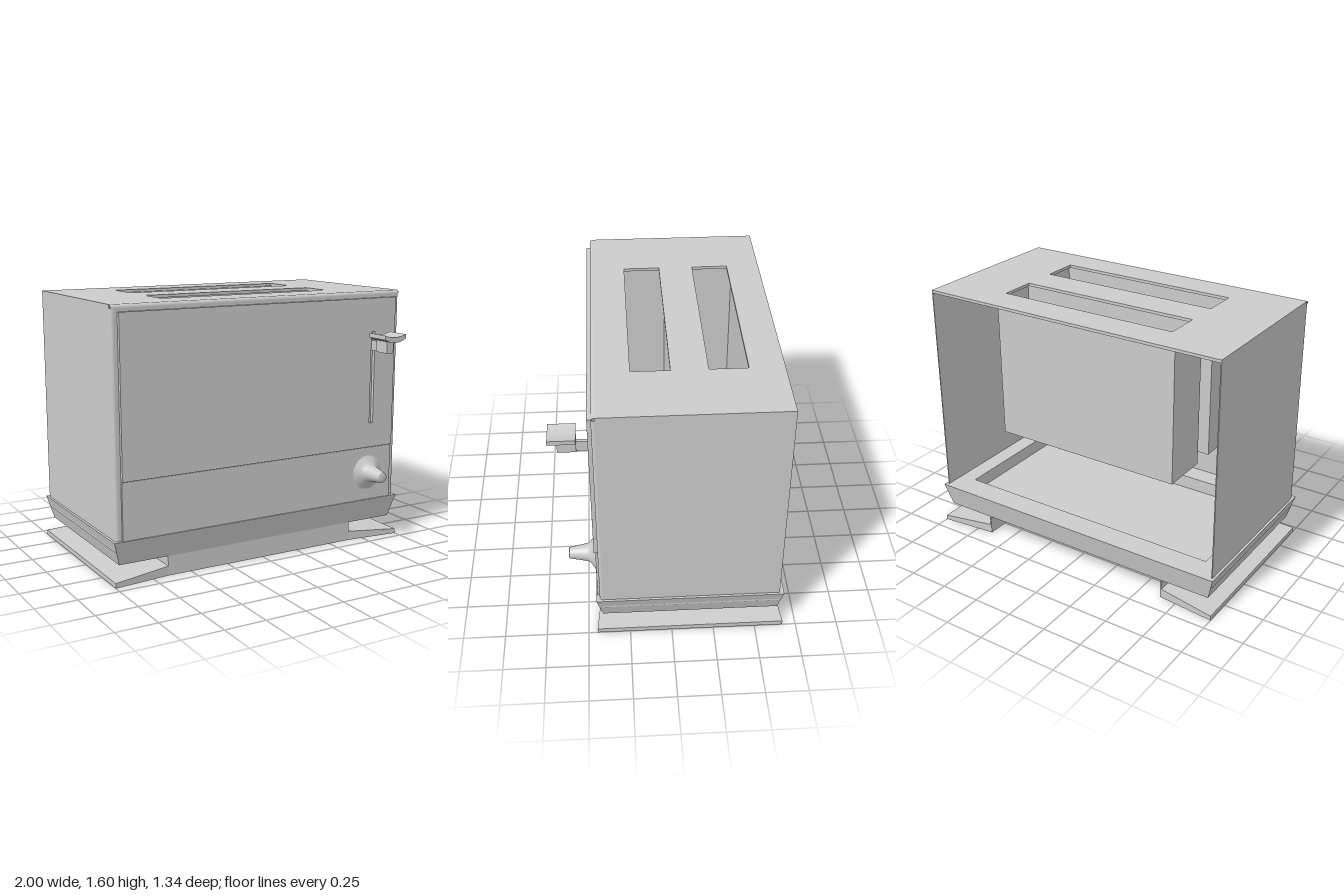
import * as THREE from 'three';

const mat = new THREE.MeshStandardMaterial({ color: 0xcccccc, side: THREE.DoubleSide });
const flat = new THREE.MeshStandardMaterial({ color: 0xcccccc, side: THREE.DoubleSide, flatShading: true });

function add(parent, name, geometry, material = mat) {
  const mesh = new THREE.Mesh(geometry, material);
  mesh.name = name;
  parent.add(mesh);
  return mesh;
}

// Box given by its limits on each axis
function block(parent, name, x0, x1, y0, y1, z0, z1) {
  const g = new THREE.BoxGeometry(x1 - x0, y1 - y0, z1 - z0);
  g.translate((x0 + x1) / 2, (y0 + y1) / 2, (z0 + z1) / 2);
  return add(parent, name, g);
}

function rectPath(x0, x1, y0, y1, Type = THREE.Path) {
  const p = new Type();
  p.moveTo(x0, y0);
  p.lineTo(x1, y0);
  p.lineTo(x1, y1);
  p.lineTo(x0, y1);
  p.closePath();
  return p;
}

function plate(x0, x1, y0, y1, depth, holes = []) {
  const s = rectPath(x0, x1, y0, y1, THREE.Shape);
  holes.forEach((h) => s.holes.push(rectPath(...h)));
  return new THREE.ExtrudeGeometry(s, { depth, bevelEnabled: false });
}

// Surface through closed rings of four corners, with optional end caps
function loft(rings, capStart, capEnd) {
  const pos = rings.flat(2);
  const idx = [];
  for (let r = 0; r < rings.length - 1; r++) {
    for (let i = 0; i < 4; i++) {
      const a = r * 4 + i, b = r * 4 + (i + 1) % 4;
      idx.push(a, a + 4, b, b, a + 4, b + 4);
    }
  }
  const e = (rings.length - 1) * 4;
  if (capStart) idx.push(0, 1, 2, 0, 2, 3);
  if (capEnd) idx.push(e, e + 2, e + 1, e, e + 3, e + 2);
  const g = new THREE.BufferGeometry();
  g.setAttribute('position', new THREE.Float32BufferAttribute(pos, 3));
  g.setIndex(idx);
  const out = g.toNonIndexed();
  out.computeVertexNormals();
  return out;
}

// Horizontal ring at height y
const ring = (x, y, z0, z1) => [[-x, y, z0], [x, y, z0], [x, y, z1], [-x, y, z1]];

function makeShell() {
  const shell = new THREE.Group();
  shell.name = 'shell';
  const R = 0.02, X = 0.985, Y = 1.6, Z0 = -0.64, Z1 = 0.425, T = 0.006;
  const slots = [[-0.44, -0.22], [-0.01, 0.21]];

  // Top plate with two bread slots
  const top = plate(-X, X, -(Z1 - R), -Z0, 0.018, slots.map(([a, b]) => [-0.575, 0.575, -b, -a]));
  top.rotateX(-Math.PI / 2);
  top.translate(0, Y - 0.018, 0);
  add(shell, 'topPlate', top);

  // Open-ended bread wells hanging below the slots
  slots.forEach(([a, b]) => {
    const x = 0.615, y0 = 0.68, y1 = Y - 0.018;
    add(shell, 'breadWell', loft([ring(x, y0, a - 0.037, b + 0.04), ring(x, y1, a - 0.037, b + 0.04)], true, false), flat);
  });

  // Walls; the back is open
  for (const s of [-1, 1]) {
    const a = s * X, b = s * (X - T);
    block(shell, 'sideWall', Math.min(a, b), Math.max(a, b), 0.2, Y - 0.005, Z0, Z1 - R);
    const edge = new THREE.CylinderGeometry(R, R, Y - R - 0.2, 8, 1, true, s > 0 ? 0 : -Math.PI / 2, Math.PI / 2);
    edge.translate(s * (X - R), (Y - R + 0.2) / 2, Z1 - R);
    add(shell, 'sideRoundedEdge', edge);
  }
  block(shell, 'frontWall', -X + R, X - R, 0.2, Y - R, Z1 - T, Z1);
  const lip = new THREE.CylinderGeometry(R, R, 2 * X, 8, 1, true, 0, Math.PI / 2);
  lip.rotateZ(Math.PI / 2);
  lip.translate(0, Y - R, Z1 - R);
  add(shell, 'topRoundedEdge', lip);

  // Front panels, the upper one cut for the lever track
  const upper = plate(-0.945, 0.945, 0.612, 1.56, 0.022, [[0.763, 0.79, 0.77, 1.35]]);
  upper.translate(0, 0, Z1);
  add(shell, 'upperPanel', upper);
  block(shell, 'lowerPanel', -0.945, 0.945, 0.262, 0.608, Z1, 0.438);
  return shell;
}

function makeBase() {
  const base = new THREE.Group();
  base.name = 'base';
  // Flared tray with a shallow recess
  add(base, 'tray', loft([
    ring(0.96, 0.12, -0.635, 0.41),
    ring(1, 0.265, -0.665, 0.445),
    ring(0.87, 0.265, -0.51, 0.29),
    ring(0.87, 0.18, -0.51, 0.29),
  ], true, true), flat);

  // Pedestal skirt, open at the back
  block(base, 'frontSkirt', -0.65, 0.65, 0, 0.12, 0.4, 0.41);
  for (const s of [-1, 1]) {
    const a = s * 0.65, b = s * 0.642;
    block(base, 'sideSkirt', Math.min(a, b), Math.max(a, b), 0, 0.12, -0.635, 0.41);
    // Flat foot, tapering and widening outwards
    const section = (x, h, z0, z1) => [[s * x, 0, z0], [s * x, h, z0], [s * x, h, z1], [s * x, 0, z1]];
    add(base, 'foot', loft([section(0.65, 0.058, -0.635, 0.41), section(1, 0.03, -0.67, 0.447)], true, true), flat);
  }
  return base;
}

function makeKnob() {
  const pts = [[0.112, 0], [0.085, 0.017], [0.066, 0.032], [0.055, 0.046], [0.053, 0.052],
    [0.034, 0.155], [0.03, 0.161], [0, 0.163]];
  const g = new THREE.LatheGeometry(pts.map(([x, y]) => new THREE.Vector2(x, y)), 32);
  g.rotateX(Math.PI / 2);
  g.translate(0.765, 0.445, 0.437);
  return g;
}

function makeLever() {
  const lever = new THREE.Group();
  lever.name = 'lever';
  block(lever, 'leverStem', 0.765, 0.788, 1.235, 1.298, 0.42, 0.52);
  block(lever, 'leverBlock', 0.748, 0.798, 1.235, 1.325, 0.515, 0.62);
  // Dished finger pad
  const s = new THREE.Shape();
  s.moveTo(0.695, 1.354);
  s.quadraticCurveTo(0.773, 1.324, 0.851, 1.354);
  s.lineTo(0.851, 1.328);
  s.quadraticCurveTo(0.82, 1.31, 0.8, 1.308);
  s.lineTo(0.746, 1.308);
  s.quadraticCurveTo(0.726, 1.31, 0.695, 1.328);
  s.closePath();
  const pad = new THREE.ExtrudeGeometry(s, { depth: 0.155, bevelEnabled: false, curveSegments: 10 });
  pad.translate(0, 0, 0.515);
  add(lever, 'leverPad', pad);
  return lever;
}

export function createModel() {
  const model = new THREE.Group();
  model.name = 'toaster';
  model.add(makeShell(), makeBase(), makeLever());
  add(model, 'knob', makeKnob());
  return model;
}
